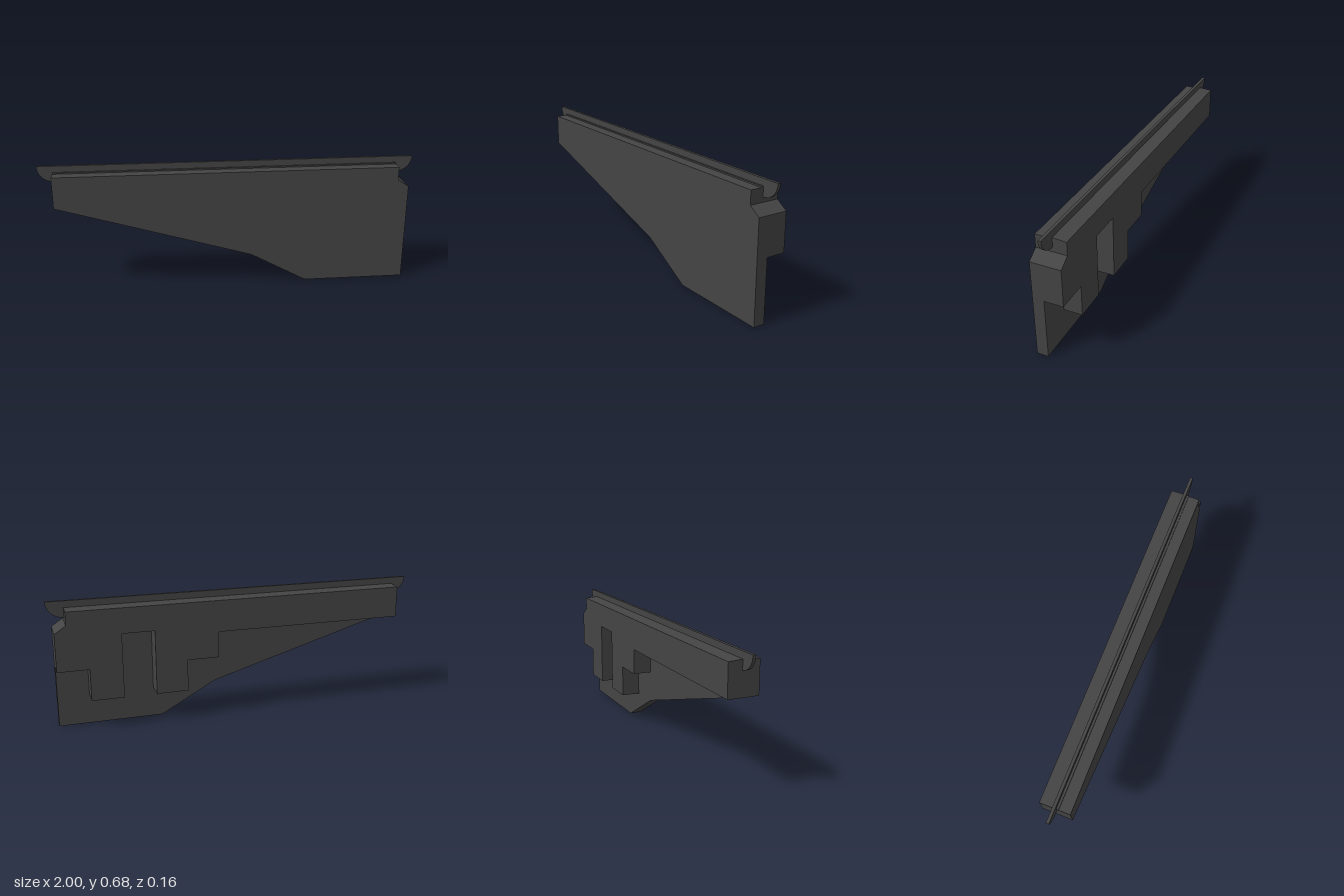
import * as THREE from 'three';

const material = new THREE.MeshStandardMaterial({ color: 0x444444, flatShading: true });

// Extrudes an outline in the xy plane between two depths
function plate(name, shape, zBack, zFront) {
  const geometry = new THREE.ExtrudeGeometry(shape, {
    depth: zFront - zBack, bevelEnabled: false, curveSegments: 10,
  });
  geometry.translate(0, 0, zBack);
  const mesh = new THREE.Mesh(geometry, material);
  mesh.name = name;
  return mesh;
}

const outline = (points) => new THREE.Shape(points.map(([x, y]) => new THREE.Vector2(x, y)));

export function createModel() {
  const model = new THREE.Group();
  model.name = 'bladeHolder';

  // Top edge and chamfered corner shared by both body halves
  const top = [[0.97, 0.53], [0.91, 0.57], [0.91, 0.64], [-0.92, 0.64], [-0.92, 0.47]];

  // Front half: tapering side panel
  model.add(plate('frontPanel', outline([
    [0.12, 0.165], [0.42, 0], [0.97, 0], ...top,
  ]), 0.02, 0.08));

  // Back half: stepped teeth along the lower edge
  const back = plate('steppedBackPanel', outline([
    [0.123, 0.47], [0.123, 0.33], [0.294, 0.33], [0.294, 0.16], [0.464, 0.16],
    [0.464, 0.505], [0.635, 0.505], [0.635, 0.16], [0.805, 0.16], [0.805, 0.33],
    [0.97, 0.33], ...top,
  ]), -0.08, 0.02);
  // Its top slopes up to a small lip beside the blade
  const pos = back.geometry.attributes.position;
  for (let i = 0; i < pos.count; i++) {
    if (pos.getY(i) > 0.63 && pos.getZ(i) > 0) pos.setY(i, 0.647);
  }
  back.geometry.computeVertexNormals();
  model.add(back);

  // Thin blade along the top with rounded lower ends
  const r = 0.085, y = 0.68;
  const blade = new THREE.Shape();
  blade.moveTo(1, y);
  blade.lineTo(-1, y);
  blade.absarc(-1 + r, y, r, Math.PI, Math.PI * 1.5, false);
  blade.lineTo(1 - r, y - r);
  blade.absarc(1 - r, y, r, -Math.PI / 2, 0, false);
  model.add(plate('blade', blade, -0.008, 0.008));

  return model;
}
